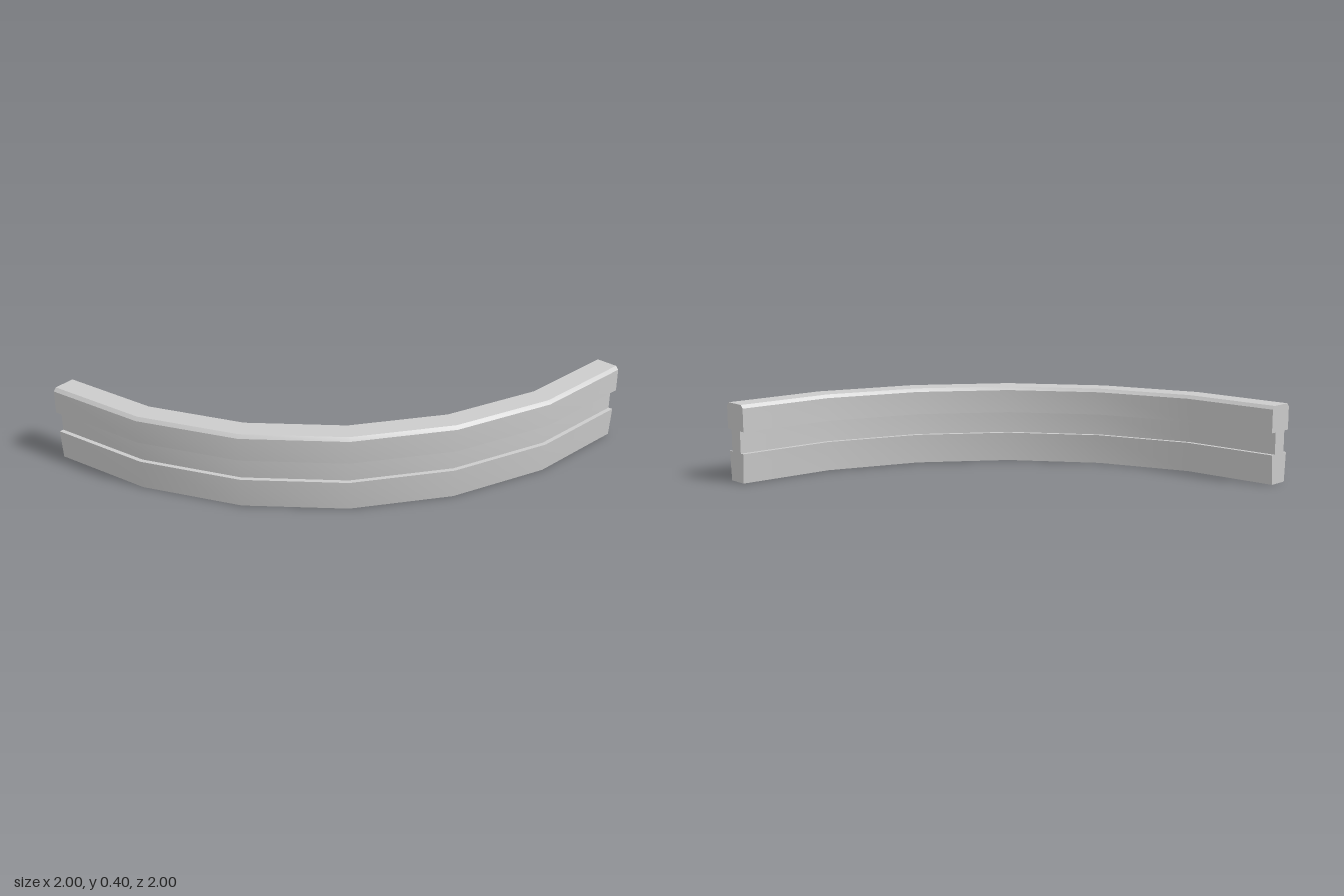
import * as THREE from 'three';
import { toCreasedNormals } from 'three/addons/utils/BufferGeometryUtils.js';

export function createModel() {
  const group = new THREE.Group();
  group.name = 'curvedRail';
  const material = new THREE.MeshStandardMaterial({ color: 0xcccccc });
  const midRadius = 1.932;

  // Half section of the rail: [half width, height], from foot to head
  const half = [
    [0.05, 0], [0.059, 0.153], [0.037, 0.153], [0.037, 0.267],
    [0.068, 0.267], [0.068, 0.387], [0.053, 0.404],
  ];
  const section = [
    ...half.map(([w, y]) => new THREE.Vector2(midRadius + w, y)),
    ...half.slice().reverse().map(([w, y]) => new THREE.Vector2(midRadius - w, y)),
  ];

  // Quarter-ring sweep in six segments
  const sweep = new THREE.LatheGeometry([...section, section[0].clone()], 6, -Math.PI / 2, Math.PI / 2);
  const body = new THREE.Mesh(toCreasedNormals(sweep, Math.PI / 6), material);
  body.name = 'railBody';
  body.position.set(1, 0, -1);
  group.add(body);

  // Flat faces closing the two ends
  const addCap = (name, side, angle) => {
    const shape = new THREE.Shape(section.map((p) => new THREE.Vector2(side * p.x, p.y)));
    const cap = new THREE.Mesh(new THREE.ShapeGeometry(shape), material);
    cap.name = name;
    cap.position.set(1, 0, -1);
    cap.rotation.y = angle;
    group.add(cap);
  };
  addCap('backEnd', 1, Math.PI);
  addCap('leftEnd', -1, Math.PI / 2);

  return group;
}
